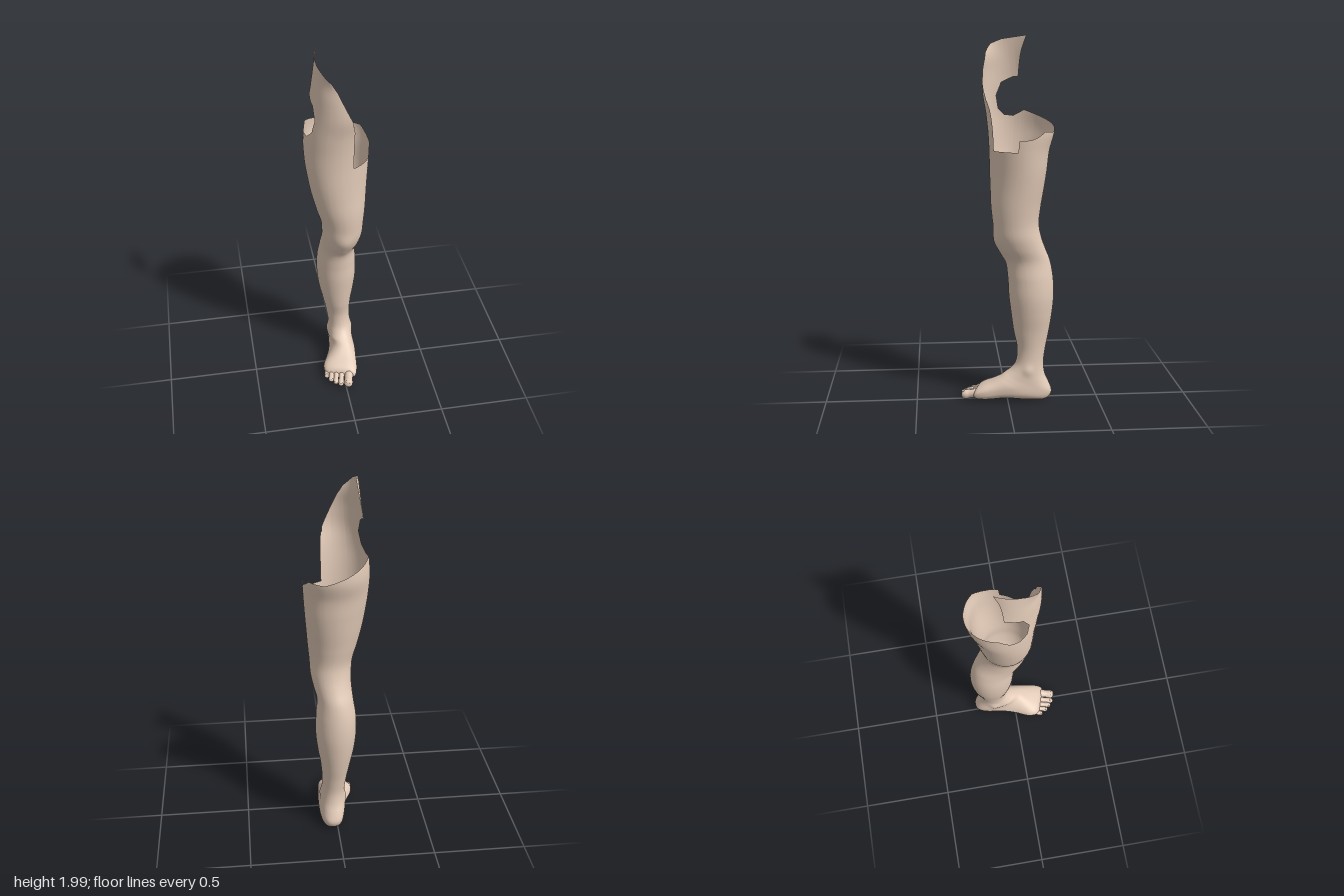
import * as THREE from 'three';
import { mergeVertices } from 'three/addons/utils/BufferGeometryUtils.js';

// Leg rings: height, outer x, inner x, front z, back z
const LEG = [
  [0.3, -0.055, 0.08, -0.055, -0.21],
  [0.4, -0.075, 0.088, -0.036, -0.23],
  [0.5, -0.096, 0.104, -0.022, -0.246],
  [0.6, -0.107, 0.114, -0.01, -0.255],
  [0.7, -0.106, 0.111, -0.004, -0.251],
  [0.8, -0.092, 0.104, 0.012, -0.232],
  [0.87, -0.086, 0.122, 0.052, -0.204],
  [0.93, -0.087, 0.134, 0.07, -0.183],
  [1.0, -0.092, 0.138, 0.078, -0.17],
  [1.1, -0.12, 0.147, 0.088, -0.18],
  [1.2, -0.145, 0.155, 0.09, -0.196],
  [1.3, -0.163, 0.163, 0.092, -0.21],
  [1.4, -0.176, 0.169, 0.094, -0.222],
  [1.5, -0.18, 0.173, 0.1, -0.248],
  [1.6, -0.172, 0.17, 0.112, -0.245],
  [1.7, -0.155, 0.16, 0.13, -0.23],
  [1.8, -0.142, 0.15, 0.13, -0.19],
  [1.9, -0.13, 0.14, 0.127, -0.165],
  [2.0, -0.118, 0.12, 0.18, -0.19],
];
// Foot rings tilt from level to upright: t, outer x, inner x, top z, top y, sole z, sole y
const FOOT = [
  [-0.16, -0.09, 0.055, 0.17, 0.06, 0.165, 0.03],
  [-0.14, -0.105, 0.066, 0.16, 0.08, 0.15, 0.018],
  [-0.1, -0.108, 0.08, 0.13, 0.1, 0.09, 0.014],
  [-0.05, -0.08, 0.088, 0.09, 0.12, -0.01, 0.022],
  [0, -0.055, 0.095, 0.055, 0.14, -0.12, 0.014],
  [0.05, -0.045, 0.095, 0.035, 0.152, -0.215, 0.017],
  [0.09, -0.045, 0.092, 0.02, 0.162, -0.245, 0.055],
  [0.13, -0.05, 0.09, 0.005, 0.172, -0.232, 0.1],
  [0.17, -0.047, 0.087, -0.02, 0.19, -0.21, 0.15],
  [0.22, -0.045, 0.083, -0.045, 0.225, -0.2, 0.21],
];
// Torn edges as [angle, height]; angle 0 is the front, 90 the outer side
const BAY_LOW = [[-22, 1.5], [57, 1.68], [60, 1.61], [72, 1.575], [89, 1.568], [108, 1.6],
  [145, 1.56], [180, 1.525], [205, 1.5], [237, 1.505], [250, 1.48], [262, 1.465], [283.7, 1.46], [284, 1.4]];
const BAY_HIGH = [[-22, 1.5], [57, 1.68], [69, 1.75], [94, 1.78], [103, 1.78], [125, 2]];
const TOP = [[-22, 1.62], [-20, 1.66], [-18.5, 1.66], [-17.5, 1.69], [0, 1.79], [14, 1.86], [27, 1.905],
  [56, 1.955], [81, 1.98], [125, 2]];
// Surface bumps: centre, radius, height
const BUMPS = [
  [new THREE.Vector3(0.02, 0.91, 0.07), 0.045, 0.008],
  [new THREE.Vector3(0.02, 0.82, 0.03), 0.03, 0.005],
  [new THREE.Vector3(0.085, 0.19, -0.11), 0.028, 0.008],
  [new THREE.Vector3(-0.046, 0.17, -0.13), 0.028, 0.01],
];

const rows = [...FOOT, ...LEG.map(([y, xl, xr, zf, zb]) => [y, xl, xr, zf, y, zb, y])];
const spline = new THREE.CubicInterpolant(rows.map(r => r[0]), rows.flatMap(r => r.slice(1)), 6);
const step = THREE.MathUtils.smoothstep;

function edge(points, a) {
  for (let i = 1; i < points.length; i++) {
    const [a0, y0] = points[i - 1], [a1, y1] = points[i];
    if (a <= a1) return y0 + (y1 - y0) * Math.max(0, (a - a0) / (a1 - a0));
  }
  return points[points.length - 1][1];
}

// Point of the skin at ring t and angle a (degrees)
function skin(t, a) {
  const [xl, xr, zf, yf, zb, yb] = spline.evaluate(t);
  const power = 1 - 0.22 * (1 - step(t, 0.05, 0.25));
  const round = v => Math.sign(v) * Math.abs(v) ** power;
  const s = round(Math.sin(a * Math.PI / 180)), c = round(Math.cos(a * Math.PI / 180));
  const mid = new THREE.Vector3((xl + xr) / 2, (yf + yb) / 2, (zf + zb) / 2);
  const p = new THREE.Vector3(mid.x - s * (xr - xl) / 2, mid.y + c * (yf - yb) / 2, mid.z + c * (zf - zb) / 2);
  const shear = 0.3 * (1 - step(t, -0.1, 0.03)) - 0.12 * step(t, 1, 1.3) * (1 - step(t, 1.55, 1.75));
  p.z += shear * (p.x - mid.x);
  const out = p.clone().sub(mid).normalize();
  for (const [centre, radius, height] of BUMPS) {
    p.addScaledVector(out, height * Math.exp(-((p.distanceTo(centre) / radius) ** 2)));
  }
  return p;
}

function buildSkin() {
  const angles = new Set([...BAY_LOW, ...BAY_HIGH, ...TOP].map(k => k[0]));
  for (let a = -22; a <= 338; a += 4) angles.add(a);
  const columns = [...angles].sort((a, b) => a - b);
  const positions = [], index = [];

  // Grid between two heights over a span of angles
  function patch(from, to, low, high, n) {
    const cols = columns.filter(a => a >= from && a <= to);
    const base = positions.length / 3;
    for (const a of cols) {
      for (let i = 0; i <= n; i++) {
        const lo = low(a);
        positions.push(...skin(lo + (high(a) - lo) * i / n, a).toArray());
      }
    }
    for (let j = 0; j < cols.length - 1; j++) {
      for (let i = 0; i < n; i++) {
        const p = base + j * (n + 1) + i, q = p + n + 1;
        index.push(p, p + 1, q + 1, p, q + 1, q);
      }
    }
  }
  patch(-22, 338, () => -0.16, () => 1.4, 130);
  patch(-22, 284, () => 1.4, a => edge(BAY_LOW, a), 10);
  patch(-22, 125, a => edge(BAY_HIGH, a), a => edge(TOP, a), 16);

  // Close the front of the foot behind the toes
  const tip = positions.length / 3;
  positions.push(-0.018, 0.045, 0.172);
  for (let j = 0; j < columns.length - 1; j++) index.push(tip, j * 131, (j + 1) * 131);

  const geometry = new THREE.BufferGeometry();
  geometry.setAttribute('position', new THREE.Float32BufferAttribute(positions, 3));
  geometry.setIndex(index);
  const welded = mergeVertices(geometry, 1e-5);
  welded.computeVertexNormals();
  return welded;
}

// Toes: base x, base z, tip x, tip z, radius
const TOES = [
  ['bigToe', 0.034, 0.14, 0.007, 0.256, 0.027],
  ['secondToe', -0.008, 0.135, -0.034, 0.245, 0.0175],
  ['middleToe', -0.037, 0.125, -0.06, 0.226, 0.0165],
  ['fourthToe', -0.063, 0.11, -0.084, 0.202, 0.016],
  ['littleToe', -0.087, 0.085, -0.104, 0.167, 0.0155],
];

function buildToe([name, bx, bz, tx, tz, r], material) {
  const toe = new THREE.Group();
  toe.name = name;
  const from = new THREE.Vector3(bx, 0.056, bz), to = new THREE.Vector3(tx, 0.037, tz);
  const length = from.distanceTo(to);
  const profile = new THREE.SplineCurve([[0.95, 0], [0.93, 0.3], [0.85, 0.58], [0.96, 0.78], [0.74, 0.93], [0, 1]]
    .map(([w, l]) => new THREE.Vector2(w * r, l * length))).getPoints(24);
  profile.forEach(p => { p.x = Math.max(0, p.x); });
  const body = new THREE.Mesh(new THREE.LatheGeometry(profile, 20), material);
  body.name = 'toeBody';
  const nail = new THREE.Mesh(new THREE.SphereGeometry(1, 14, 8), material);
  nail.name = 'toenail';
  nail.scale.set(r * 0.6, length * 0.09, r * 0.2);
  nail.position.set(0, length * 0.87, r * 0.78);
  nail.rotation.x = -0.3;
  toe.add(body, nail);
  // Length runs along the toe, local z points up
  const along = to.clone().sub(from).normalize();
  const side = along.clone().cross(new THREE.Vector3(0, 1, 0)).normalize();
  const up = side.clone().cross(along);
  toe.quaternion.setFromRotationMatrix(new THREE.Matrix4().makeBasis(side, along, up));
  toe.position.copy(from);
  return toe;
}

export function createModel() {
  const material = new THREE.MeshStandardMaterial({ color: 0xe3cbb8, side: THREE.DoubleSide });
  const model = new THREE.Group();
  model.name = 'leg';
  const shell = new THREE.Mesh(buildSkin(), material);
  shell.name = 'legAndFoot';
  const toes = new THREE.Group();
  toes.name = 'toes';
  TOES.forEach(t => toes.add(buildToe(t, material)));
  model.add(shell, toes);
  return model;
}
